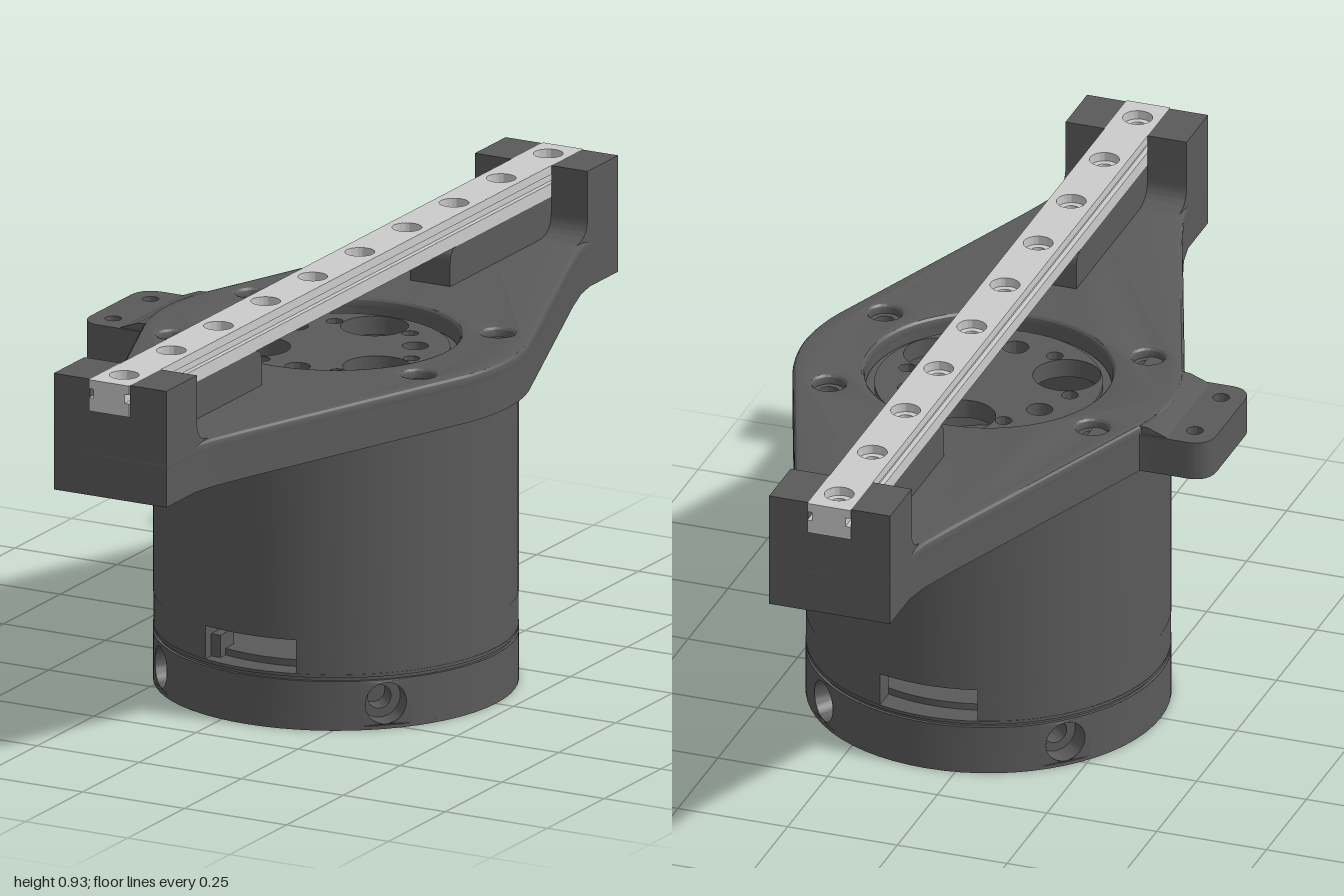
import * as THREE from 'three';
import { toCreasedNormals } from 'three/addons/utils/BufferGeometryUtils.js';

const CX = 0.065;   // axis of the round body
const R = 0.392;    // body radius

export function createModel() {
  const dark = new THREE.MeshStandardMaterial({ color: 0x5a5a5a, side: THREE.DoubleSide });
  const steel = new THREE.MeshStandardMaterial({ color: 0xcccccc });
  const root = new THREE.Group();
  root.position.x = CX;
  const model = new THREE.Group();
  model.add(root);

  const add = (name, geo, mat = dark, parent = root) => {
    const mesh = new THREE.Mesh(toCreasedNormals(geo, 0.5), mat);
    mesh.name = name;
    parent.add(mesh);
    return mesh;
  };
  const poly = pts => new THREE.Shape(pts.map(p => new THREE.Vector2(...p)));
  const disc = (x, z, r) => new THREE.Shape().absarc(x, -z, r, 0, Math.PI * 2);
  const polar = (r, deg) => [r * Math.cos(deg * Math.PI / 180), r * Math.sin(deg * Math.PI / 180)];
  // horizontal slab between two heights, optionally with chamfered edges
  const slab = (shape, y0, y1, holes = [], bevel = 0) => {
    shape.holes = holes;
    const geo = new THREE.ExtrudeGeometry(shape, {
      depth: y1 - y0 - 2 * bevel, curveSegments: 32, bevelEnabled: bevel > 0,
      bevelSize: bevel, bevelThickness: bevel, bevelOffset: -bevel, bevelSegments: 3,
    });
    return geo.rotateX(-Math.PI / 2).translate(0, y0 + bevel, 0);
  };
  const lathe = (pts, seg = 96) => new THREE.LatheGeometry(pts.map(p => new THREE.Vector2(...p)), seg);
  const sixHoles = (r, size) => [0, 1, 2, 3, 4, 5].map(i => disc(...polar(r, i * 60), size));

  // ---- base puck with four sunk side screws and six bottom holes
  add('baseBottom', slab(disc(0, 0, R), 0, 0.008, sixHoles(0.19, 0.018)));
  add('baseFloor', slab(disc(0, 0, R - 0.003), 0.008, 0.01));
  const half = 0.15;
  for (let i = 0; i < 4; i++) {
    const angle = Math.PI / 4 + i * Math.PI / 2;
    add('baseWall', new THREE.CylinderGeometry(R, R, 0.102, 24, 1, true,
      angle + half, Math.PI / 2 - 2 * half).translate(0, 0.059, 0));
    // flat panel with a hole, bent round the axis
    const w = half * R;
    const panel = poly([[-w, 0.008], [w, 0.008], [w, 0.11], [-w, 0.11]]);
    panel.holes = [disc(0, -0.057, 0.046)];
    const geo = new THREE.ShapeGeometry(panel, 20);
    const p = geo.attributes.position;
    for (let k = 0; k < p.count; k++) {
      const t = p.getX(k) / R + angle;
      p.setXYZ(k, R * Math.sin(t), p.getY(k), R * Math.cos(t));
    }
    add('baseScrewPanel', geo);
    const pocket = lathe([[0.046, 0], [0.046, -0.05], [0.026, -0.05], [0.026, -0.1], [0, -0.1]], 32);
    add('baseScrewPocket', pocket.rotateX(Math.PI / 2).translate(0, 0.057, R - 0.002).rotateY(angle));
  }
  add('baseTop', lathe([[R, 0.11], [0.385, 0.11], [0.385, 0.118], [R, 0.118], [R, 0.125],
    [0.34, 0.125], [0.34, 0.14], [0, 0.14]]));

  // ---- slotted ring, open at front and back
  const t1 = Math.acos(0.111 / 0.391), t2 = Math.acos(0.111 / 0.34);
  for (const turn of [0, Math.PI]) {
    const arc = new THREE.Shape().absarc(0, 0, 0.391, -t1, t1).absarc(0, 0, 0.34, t2, -t2, true);
    add('slottedRing', slab(arc, 0.125, 0.2).rotateY(turn));
  }
  add('slotStop', new THREE.BoxGeometry(0.024, 0.05, 0.06).translate(-0.1, 0.15, 0.32));

  // ---- main drum with an open bore at the top
  add('drum', lathe([[0, 0.2], [R, 0.2], [R, 0.665], [0.265, 0.665], [0.265, 0.5], [0, 0.5]]));

  // ---- recessed drive disc
  const discHoles = () => [
    ...sixHoles(0.185, 0.018),
    ...[30, 150, 270].map(a => disc(...polar(0.17, a), 0.073)),
    ...[90, 210, 330].map(a => disc(...polar(0.17, a), 0.028)),
  ];
  add('driveDisc', slab(disc(0, 0, 0.264), 0.70, 0.73, discHoles()));
  add('driveDiscFace', slab(disc(0, 0, 0.245), 0.73, 0.742, discHoles()));

  // ---- diamond plate: ribbed lower layer and chamfered top skin
  const outline = () => {
    const a = Math.atan2(0.147, 0.393);
    const s = new THREE.Shape();
    const edge = [[0.138, 0.995], [0.138, 0.87], [0.15, 0.81], [0.18, 0.72]];
    s.moveTo(...edge[0]);
    s.lineTo(-0.138, 0.995);
    edge.slice(1).forEach(([x, y]) => s.lineTo(-x, y));
    s.absarc(0, 0, 0.42, Math.PI - a, Math.PI + a);
    [...edge].reverse().forEach(([x, y]) => s.lineTo(-x, -y));
    edge.forEach(([x, y]) => s.lineTo(x, -y));
    s.absarc(0, 0, 0.42, -a, a);
    [...edge.slice(1)].reverse().forEach(([x, y]) => s.lineTo(x, y));
    return s;
  };
  const screws = r => [1, -1].flatMap(i => [1, -1].map(j => disc(i * 0.3, j * 0.175, r)));
  const cells = [];
  for (const s of [1, -1]) {
    cells.push(poly([[-0.22, 0.43 * s], [0.22, 0.43 * s], [0, 0.765 * s]]));
    cells.push(poly([[0.085, 0.96 * s], [-0.085, 0.96 * s], [0, 0.84 * s]]));
    for (const m of [1, -1]) {
      cells.push(poly([[0.25 * m, 0.48 * s], [0.15 * m, 0.72 * s], [0.11 * m, 0.92 * s], [0.025 * m, 0.8 * s]]));
    }
  }
  add('plateRibs', slab(outline(), 0.665, 0.75, [disc(0, 0, 0.266), ...screws(0.022), ...cells]));
  add('plateSkin', slab(outline(), 0.735, 0.772, [disc(0, 0, 0.266), ...screws(0.034)], 0.012));

  // ---- side tab with two holes and a ramp up to the plate
  const tab = new THREE.Shape();
  tab.moveTo(-0.29, 0.26);
  tab.bezierCurveTo(-0.36, 0.15, -0.36, 0.14, -0.42, 0.14);
  tab.lineTo(-0.5, 0.14);
  tab.quadraticCurveTo(-0.552, 0.14, -0.552, 0.085);
  tab.lineTo(-0.552, -0.085);
  tab.quadraticCurveTo(-0.552, -0.14, -0.5, -0.14);
  tab.lineTo(-0.42, -0.14);
  tab.bezierCurveTo(-0.36, -0.14, -0.36, -0.15, -0.29, -0.26);
  add('sideTab', slab(tab, 0.665, 0.752, [disc(-0.5, 0.082, 0.018), disc(-0.5, -0.082, 0.018)]));
  const ramp = poly([[-0.46, 0.75], [-0.39, 0.75], [-0.39, 0.77], [-0.41, 0.769]]);
  add('tabRamp', new THREE.ExtrudeGeometry(ramp, { depth: 0.27, bevelEnabled: false }).translate(0, 0, -0.135));

  // ---- end towers and the ledges under the rail
  const along = (shape, x0, x1) => new THREE.ExtrudeGeometry(shape, { depth: x1 - x0, bevelEnabled: false })
    .rotateY(-Math.PI / 2).translate(x1, 0, 0);
  for (const turn of [0, Math.PI]) {
    const end = new THREE.Group();
    end.name = 'railEnd';
    end.rotation.y = turn;
    root.add(end);
    const cheek = new THREE.Shape();
    cheek.moveTo(0.995, 0.75);
    cheek.lineTo(0.995, 0.925);
    cheek.lineTo(0.86, 0.925);
    cheek.lineTo(0.86, 0.82);
    cheek.quadraticCurveTo(0.86, 0.772, 0.8, 0.771);
    cheek.lineTo(0.8, 0.75);
    add('towerCheek', along(cheek, 0.049, 0.138), dark, end);
    add('towerCheek', along(cheek, -0.138, -0.049), dark, end);
    const ledge = new THREE.Shape();
    ledge.moveTo(0.995, 0.75);
    ledge.lineTo(0.995, 0.855);
    ledge.lineTo(0.445, 0.855);
    ledge.quadraticCurveTo(0.415, 0.855, 0.415, 0.825);
    ledge.lineTo(0.415, 0.75);
    add('railLedge', along(ledge, -0.049, 0.049), dark, end);
  }

  // ---- linear rail with side grooves and ten sunk holes
  const railLayer = (w, y0, y1, r) => {
    const holes = Array.from({ length: 10 }, (_, i) => disc(0, -0.935 + i * 0.2075, r));
    add('rail', slab(poly([[-w, -1], [w, -1], [w, 1], [-w, 1]]), y0, y1, holes), steel);
  };
  railLayer(0.049, 0.855, 0.885, 0.018);
  railLayer(0.038, 0.885, 0.905, 0.018);
  railLayer(0.049, 0.905, 0.925, 0.032);
  return model;
}
